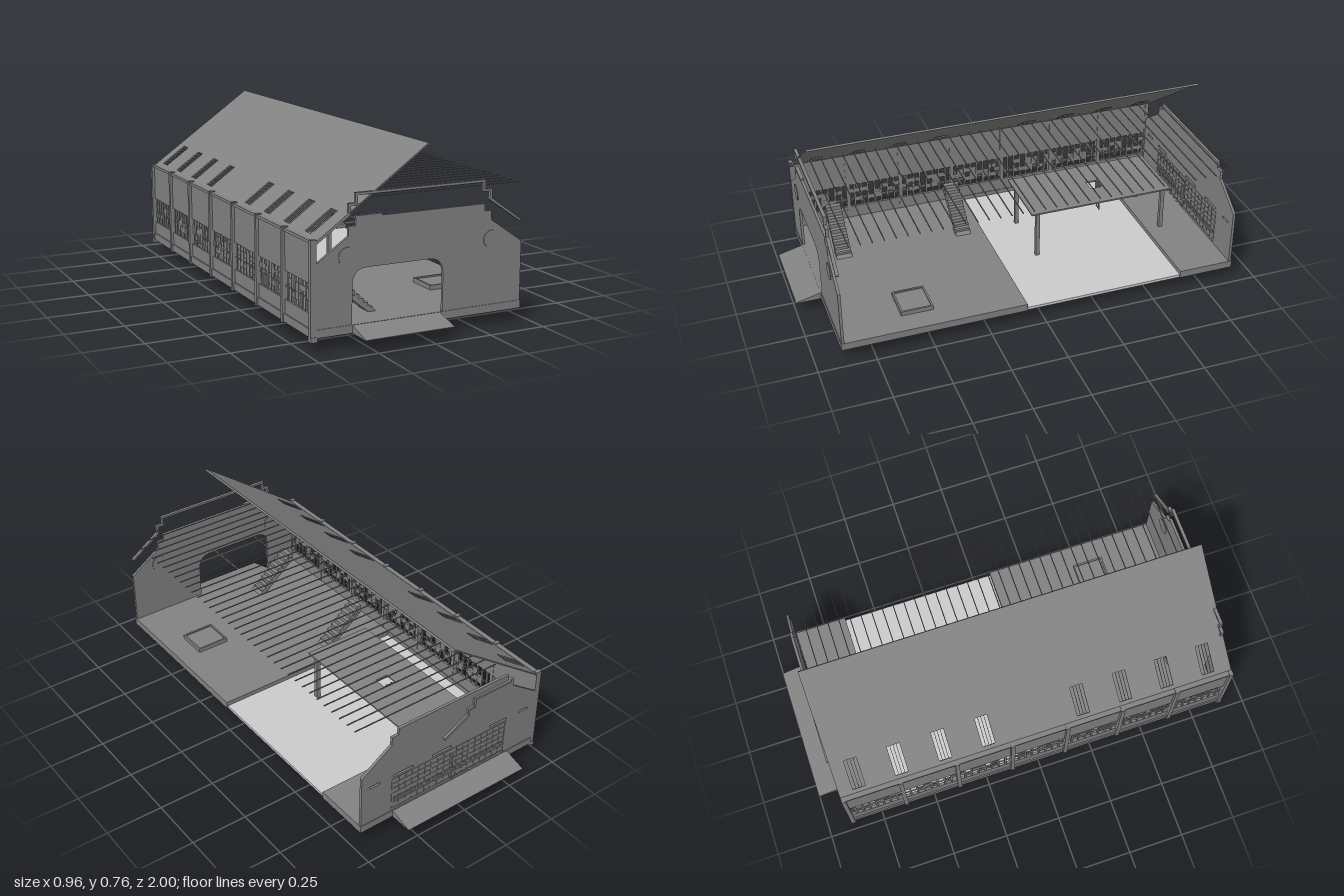
import * as THREE from 'three';

const dark = new THREE.MeshStandardMaterial({ color: 0x828282, flatShading: true, side: THREE.DoubleSide });
const light = new THREE.MeshStandardMaterial({ color: 0xcccccc, flatShading: true, side: THREE.DoubleSide });

function add(parent, name, geometry, material = dark) {
  const mesh = new THREE.Mesh(geometry, material);
  mesh.name = name;
  parent.add(mesh);
  return mesh;
}

// Box given by its limits on each axis
function block(parent, name, x0, x1, y0, y1, z0, z1, material = dark) {
  const m = add(parent, name, new THREE.BoxGeometry(x1 - x0, y1 - y0, z1 - z0), material);
  m.position.set((x0 + x1) / 2, (y0 + y1) / 2, (z0 + z1) / 2);
}

function group(parent, name) {
  const g = new THREE.Group();
  g.name = name;
  parent.add(g);
  return g;
}

const polygon = (pts) => new THREE.Shape(pts.map(([x, y]) => new THREE.Vector2(x, y)));
const rect = (x0, x1, y0, y1) => polygon([[x0, y0], [x1, y0], [x1, y1], [x0, y1]]);
const extrude = (shape, depth) => new THREE.ExtrudeGeometry(shape, { depth, bevelEnabled: false, curveSegments: 8 });

// Stepped gable outline
const gable = () => polygon([[-0.46, 0.055], [0.46, 0.055], [0.46, 0.335], [0.315, 0.435], [0.315, 0.473],
  [0.282, 0.473], [0.282, 0.503], [-0.29, 0.503], [-0.29, 0.473], [-0.322, 0.473], [-0.322, 0.435], [-0.46, 0.34]]);

function buildFrontWall(root) {
  const g = group(root, 'frontWall');
  const wall = gable();
  const arch = new THREE.Path();
  arch.moveTo(-0.305, 0.085).lineTo(0.095, 0.085).lineTo(0.095, 0.24);
  arch.quadraticCurveTo(0.095, 0.307, 0.03, 0.307).lineTo(-0.24, 0.307);
  arch.quadraticCurveTo(-0.305, 0.307, -0.305, 0.24);
  wall.holes.push(arch);
  add(g, 'frontGable', extrude(wall, 0.012)).position.z = 0.875;
  for (const x of [-0.328, 0.317]) {
    const disc = add(g, 'roundVent', new THREE.CylinderGeometry(0.037, 0.037, 0.018, 28));
    disc.rotation.x = Math.PI / 2;
    disc.position.set(x, 0.357, 0.881);
  }
  block(g, 'gableCap', -0.295, -0.18, 0.503, 0.511, 0.873, 0.889);
  // Stepped coping band floating above the gable
  const coping = polygon([[-0.455, 0.428], [-0.322, 0.52], [-0.322, 0.56], [-0.293, 0.56], [-0.293, 0.599],
    [0.285, 0.599], [0.285, 0.56], [0.316, 0.56], [0.316, 0.522], [0.455, 0.424],
    [0.45, 0.417], [0.306, 0.516], [0.306, 0.551], [0.276, 0.551], [0.276, 0.589],
    [-0.283, 0.589], [-0.283, 0.551], [-0.313, 0.551], [-0.313, 0.515], [-0.455, 0.417]]);
  add(g, 'gableCoping', extrude(coping, 0.014)).position.z = 0.873;
}

function buildBackWall(root) {
  const g = group(root, 'backWall');
  const wall = gable();
  for (const [a, b] of [[-0.42, -0.37], [-0.3, -0.21], [0, 0.1], [0.2, 0.3], [0.37, 0.42]])
    wall.holes.push(rect(a, b, 0.265, 0.275));
  for (let i = 0; i < 18; i++) {
    const x = -0.29 + i * 0.0335;
    wall.holes.push(rect(x, x + 0.017, 0.139, 0.147));
  }
  // Gaps under and between the doors
  wall.holes.push(rect(-0.3, -0.02, 0.0895, 0.098), rect(-0.0125, -0.0085, 0.0895, 0.132), rect(-0.0125, -0.0085, 0.152, 0.225));
  add(g, 'backGable', extrude(wall, 0.012)).position.z = -0.895;
  // Shallow window frames on the wall
  for (let i = 0; i <= 18; i++) {
    const x = -0.298 + i * 0.0335, w = i % 6 === 0 ? 0.004 : 0.0008;
    block(g, 'windowMullion', x - w, x + w, 0.1, 0.255, -0.897, -0.881);
  }
  for (const y of [0.101, 0.13, 0.155, 0.18, 0.205, 0.23, 0.255])
    block(g, 'windowRail', -0.3, 0.308, y - 0.0012, y + 0.0012, -0.897, -0.881);
  // Stepped strip on the outside face
  const strip = polygon([[0.05, 0.34], [-0.07, 0.405], [-0.07, 0.435], [-0.1, 0.435], [-0.1, 0.475], [-0.3, 0.475],
    [-0.3, 0.465], [-0.11, 0.465], [-0.11, 0.425], [-0.08, 0.425], [-0.08, 0.398], [0.045, 0.331]].reverse());
  add(g, 'steppedStrip', extrude(strip, 0.01)).position.z = -0.904;
}

// Long window wall with pilasters and partly filled panes
function buildSideWall(root) {
  const g = group(root, 'windowWall');
  block(g, 'lowerWall', -0.47, -0.458, 0.055, 0.145, -0.89, 0.885);
  block(g, 'upperWall', -0.47, -0.458, 0.262, 0.43, -0.89, 0.885);
  block(g, 'wallPlinth', -0.476, -0.455, 0.055, 0.088, -0.89, 0.885);
  block(g, 'eaveRail', -0.477, -0.455, 0.42, 0.432, -0.89, 0.885);
  block(g, 'glazingBar', -0.467, -0.461, 0.198, 0.201, -0.885, 0.88);
  const bay = 1.765 / 7, cols = 8, rows = 5, w = bay / cols, h = 0.117 / rows;
  let seed = 7;
  const random = () => (seed = (seed * 16807) % 2147483647) / 2147483647;
  for (let b = 0; b <= 7; b++) {
    const z = -0.885 + b * bay;
    block(g, 'pilaster', -0.482, -0.456, 0.05, 0.436, z - 0.009, z + 0.009);
    if (b % 7 === 0) block(g, 'cornerFoot', -0.482, -0.455, 0.04, 0.06, z - 0.012, z + 0.012);
    if (b === 7) break;
    for (let c = 0; c < cols; c++) {
      const zc = z + c * w;
      block(g, 'mullion', -0.468, -0.46, 0.145, 0.262, zc - 0.004, zc + 0.004);
      for (let r = 1; r < rows - 1; r++)
        if (random() < 0.48) block(g, 'pane', -0.466, -0.462, 0.145 + r * h, 0.145 + (r + 1) * h, zc, zc + w);
    }
  }
}

// Single tilted roof plane with barred skylights
function buildRoof(root) {
  const g = group(root, 'roof');
  g.position.set(-0.46, 0.427, 0);
  g.rotation.z = Math.atan2(0.338, 0.48);
  const plane = rect(0, 0.587, -0.895, 0.888);
  const s = 1 / Math.cos(g.rotation.z);
  for (const z of [-0.805, -0.615, -0.42, -0.225, 0.205, 0.4, 0.592, 0.783]) {
    plane.holes.push(rect(0.02 * s, 0.13 * s, z - 0.028, z + 0.028));
    for (const o of [-0.014, 0, 0.014])
      block(g, 'skylightBar', 0.02 * s, 0.13 * s, -0.004, 0, z + o - 0.001, z + o + 0.001);
  }
  add(g, 'roofPanel', extrude(plane, 0.005)).rotation.x = Math.PI / 2;
  block(g, 'ridgeLip', 0.58, 0.587, -0.009, -0.004, -0.895, 0.888);
}

// Floors, ramps and the low hatch on the open side
function buildFloor(root) {
  const g = group(root, 'floor');
  block(g, 'frontFloor', -0.46, 0.463, 0.055, 0.088, 0.075, 0.89);
  block(g, 'middleFloor', -0.457, 0.458, 0.055, 0.068, -0.645, 0.075, light);
  block(g, 'backFloor', -0.46, 0.463, 0.055, 0.088, -0.898, -0.645);
  const ramp = (name, x0, x1, z0, z1) => {
    const m = add(g, name, extrude(polygon([[z0, 0.055], [z1, 0.055], [z1, 0.058], [z0, 0.088]]), x1 - x0));
    m.rotation.y = -Math.PI / 2;
    m.position.x = x1;
  };
  ramp('frontRamp', -0.305, 0.083, 0.885, 1);
  ramp('backRamp', -0.32, 0.3, -0.89, -1);
  block(g, 'floorHatch', 0.213, 0.358, 0.088, 0.102, 0.468, 0.602);
  for (const x of [0.213, 0.358]) block(g, 'hatchRim', x - 0.004, x + 0.004, 0.088, 0.108, 0.464, 0.606);
  for (const z of [0.468, 0.602]) block(g, 'hatchRim', 0.213, 0.358, 0.088, 0.108, z - 0.004, z + 0.004);
}

// Raised deck on four posts, with a panel and ladder below its opening
function buildDeck(root) {
  const g = group(root, 'deck');
  const plate = rect(-0.2, 0.118, 0.07, 0.745);
  plate.holes.push(rect(-0.06, 0, 0.4, 0.455));
  const m = add(g, 'deckPlate', extrude(plate, 0.007));
  m.rotation.x = -Math.PI / 2;
  m.position.y = 0.293;
  for (const x of [-0.183, 0.095]) for (const z of [-0.105, -0.715])
    block(g, 'post', x - 0.009, x + 0.009, 0, 0.294, z - 0.009, z + 0.009);
  block(g, 'ladderPanel', -0.08, 0.02, 0.235, 0.293, -0.46, -0.457);
  for (const x of [-0.043, -0.016]) block(g, 'ladderRail', x - 0.002, x + 0.002, 0.168, 0.3, -0.454, -0.449);
  for (let i = 0; i < 7; i++)
    block(g, 'ladderRung', -0.043, -0.016, 0.172 + i * 0.02, 0.175 + i * 0.02, -0.454, -0.449);
}

// Stairs climbing toward the window wall
function buildStairs(root, z) {
  const g = group(root, 'stairs');
  const run = 0.02, rise = 0.0185;
  for (let i = 0; i < 9; i++) {
    const x = -0.15 - i * run, y = 0.09 + i * rise;
    block(g, 'step', x - run - 0.004, x, y, y + rise, z - 0.035, z + 0.035);
  }
  const slab = polygon([[-0.335, 0.222], [-0.315, 0.222], [-0.09, 0.055], [-0.09, 0.04], [-0.11, 0.04]]);
  add(g, 'stairSlab', extrude(slab, 0.07)).position.z = z - 0.035;
}

export function createModel() {
  const root = new THREE.Group();
  root.name = 'warehouse';
  buildFloor(root);
  buildFrontWall(root);
  buildBackWall(root);
  buildSideWall(root);
  buildRoof(root);
  buildDeck(root);
  for (const z of [0.73, 0.17]) buildStairs(root, z);
  // Row of thin ceiling rods
  const rods = group(root, 'ceilingRods');
  for (let i = 0; i < 36; i++) {
    const z = -0.867 + i * 0.0485;
    block(rods, 'rod', -0.235, 0.478, 0.563, 0.567, z - 0.002, z + 0.002);
  }
  return root;
}
